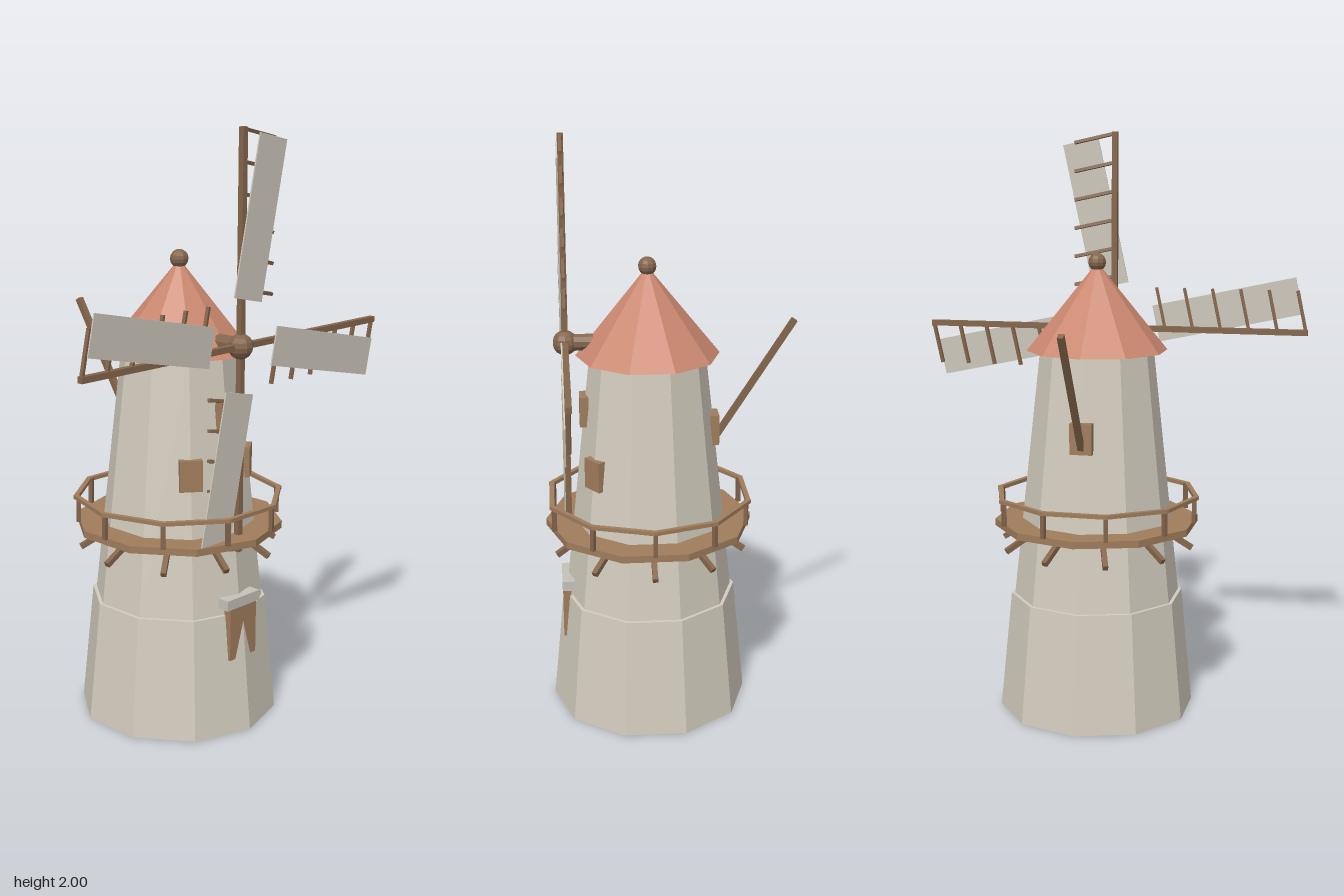
import * as THREE from 'three';

const mat = (name, color, extra = {}) => {
  const m = new THREE.MeshStandardMaterial({ color, flatShading: true, ...extra });
  m.name = name;
  return m;
};

export function createModel() {
  const stone = mat('stone', 0xd2ccbd);
  const trim = mat('pale stone', 0xc4c1b8);
  const cloth = mat('sail cloth', 0xcbc6ba);
  const tile = mat('roof tile', 0xcb8870);
  const plank = mat('plank wood', 0xa07d5c);
  const beam = mat('beam wood', 0x84664c);

  const model = new THREE.Group();
  model.name = 'windmill';
  const CZ = 0.08, SIDES = 10, STEP = (Math.PI * 2) / SIDES;

  // Everything round the tower axis hangs in this group
  const tower = new THREE.Group();
  tower.name = 'tower';
  tower.position.z = CZ;
  model.add(tower);

  const add = (parent, name, geo, material, x = 0, y = 0, z = 0) => {
    const m = new THREE.Mesh(geo, material);
    m.name = name;
    m.position.set(x, y, z);
    parent.add(m);
    return m;
  };
  const box = (w, h, d) => new THREE.BoxGeometry(w, h, d);
  const ring = (rTop, rBottom, h) => new THREE.CylinderGeometry(rTop, rBottom, h, SIDES);
  // Square bar between two points
  const bar = (parent, name, a, b, t, material) => {
    const p = new THREE.Vector3(...a), q = new THREE.Vector3(...b);
    const m = add(parent, name, box(t, t, p.distanceTo(q)), material);
    m.position.copy(p).add(q).multiplyScalar(0.5);
    m.quaternion.setFromUnitVectors(new THREE.Vector3(0, 0, 1), q.sub(p).normalize());
    return m;
  };
  // Group turned about the tower axis, so that its +z points outwards
  const spoke = (name, angle) => {
    const g = new THREE.Group();
    g.name = name;
    g.rotation.y = angle;
    tower.add(g);
    return g;
  };

  // Ten-sided body, roof and finial
  add(tower, 'towerBase', ring(0.3, 0.34, 0.41), stone, 0, 0.205);
  add(tower, 'towerBody', ring(0.195, 0.288, 0.86), stone, 0, 0.84);
  add(tower, 'roof', new THREE.ConeGeometry(0.242, 0.3, SIDES), tile, 0, 1.415);
  add(tower, 'finial', new THREE.SphereGeometry(0.031, 10, 8), beam, 0, 1.565);

  // Gallery deck with posts, rails and splayed braces
  add(tower, 'deck', ring(0.354, 0.354, 0.024), plank, 0, 0.667);
  for (let i = 0; i < SIDES; i++) {
    const corner = spoke('galleryPost', (i + 0.5) * STEP);
    add(corner, 'post', box(0.014, 0.09, 0.014), beam, 0, 0.722, 0.343);
    bar(corner, 'brace', [0, 0.66, 0.21], [0, 0.587, 0.337], 0.018, beam);
    const side = spoke('galleryRail', i * STEP);
    add(side, 'rail', box(0.226, 0.013, 0.016), plank, 0, 0.764, 0.333);
  }

  // Window shutters: two low at the front, one high, one at the back
  for (const [angle, y, r] of [[STEP, 0.89, 0.23], [-STEP, 0.89, 0.23], [0, 1.075, 0.217], [Math.PI, 0.998, 0.225]]) {
    add(spoke('window', angle), 'shutter', box(0.076, 0.105, 0.03), plank, 0, y, r);
  }

  // Door and lintel; the corner of the base cuts through the door
  add(model, 'door', box(0.126, 0.19, 0.028), plank, 0, 0.35, 0.369);
  add(model, 'lintel', box(0.156, 0.035, 0.043), trim, 0, 0.453, 0.363);

  // Tail pole
  bar(model, 'tailPole', [0, 0.95, -0.142], [0, 1.373, -0.413], 0.02, beam);

  // Hub and axle
  const rotor = new THREE.Group();
  rotor.name = 'rotor';
  rotor.position.set(0, 1.31, 0.355);
  model.add(rotor);
  add(rotor, 'hub', new THREE.SphereGeometry(0.042, 10, 8), beam);
  add(rotor, 'axle', new THREE.CylinderGeometry(0.029, 0.029, 0.2, 10), beam, 0, 0, -0.1).rotation.x = Math.PI / 2;

  // Four sails: spar, slanted rungs and a cloth panel in front
  const TILT = -0.214;
  for (let i = 0; i < 4; i++) {
    const sail = new THREE.Group();
    sail.name = 'sail';
    sail.rotation.z = (i * Math.PI) / 2;
    rotor.add(sail);
    add(sail, 'spar', box(0.02, 0.69, 0.02), beam, 0, 0.345, 0);
    for (let k = 0; k < 6; k++) {
      const y = 0.184 + k * 0.1;
      bar(sail, 'rung', [0, y, 0], [0.147, y + 0.147 * Math.tan(TILT), 0], 0.011, beam);
    }
    add(sail, 'sailCloth', box(0.131, 0.52, 0.005), cloth, 0.0725, 0.403, 0.0125).rotation.z = TILT;
  }
  return model;
}
